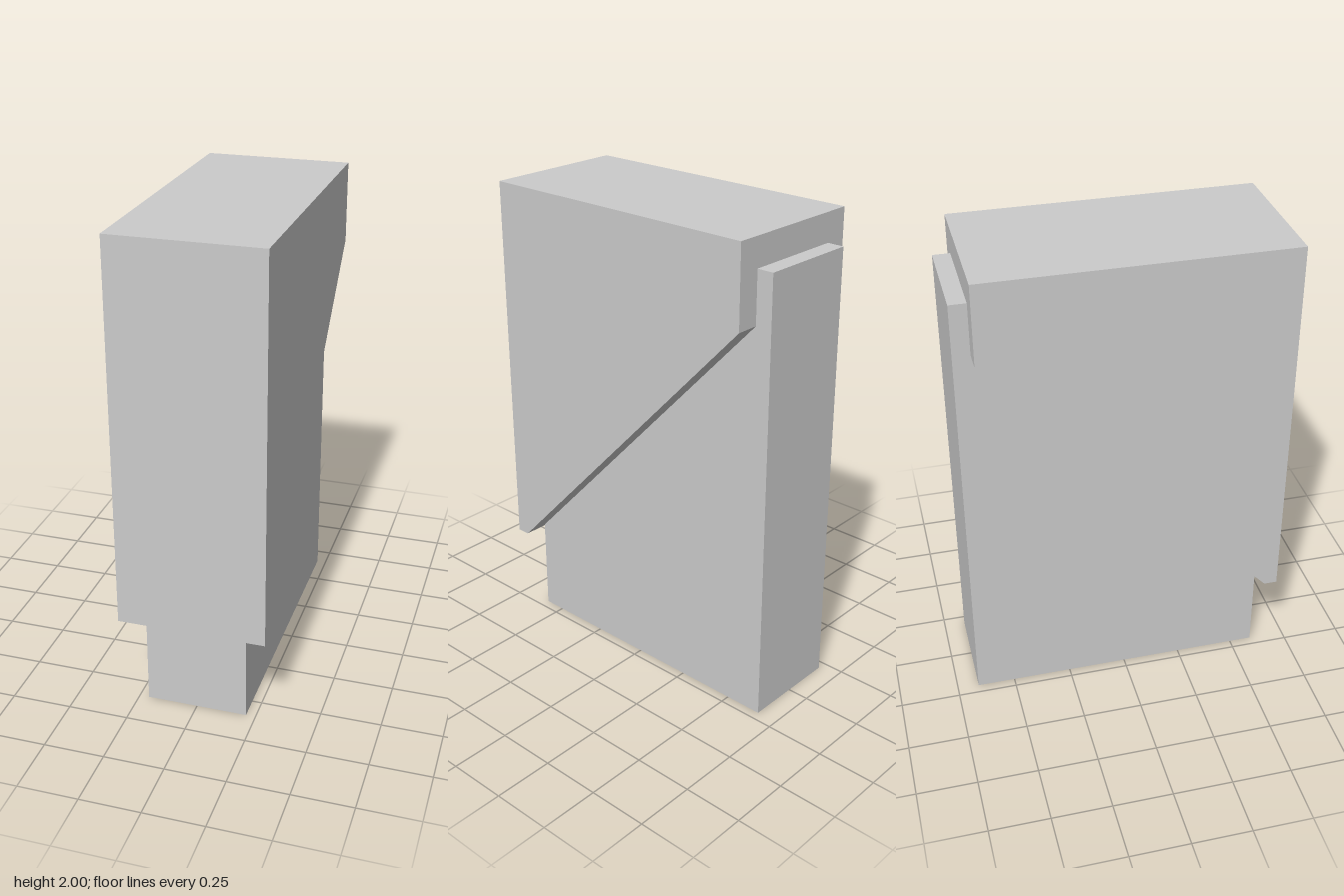
import * as THREE from 'three';

const material = new THREE.MeshStandardMaterial({ color: 0xcccccc, flatShading: true });

// Extrudes a side profile of [z, y] points across x, centred on x = 0
function sideExtrusion(name, profile, width) {
  const shape = new THREE.Shape(profile.map(([z, y]) => new THREE.Vector2(z, y)));
  const geometry = new THREE.ExtrudeGeometry(shape, { depth: width, bevelEnabled: false });
  geometry.translate(0, 0, -width / 2);
  geometry.rotateY(-Math.PI / 2);
  const mesh = new THREE.Mesh(geometry, material);
  mesh.name = name;
  return mesh;
}

export function createModel() {
  const group = new THREE.Group();
  group.name = 'coveredBlock';

  // Narrow inner block, standing on the ground and showing at the back
  const innerBlock = new THREE.Mesh(new THREE.BoxGeometry(0.42, 1.88, 1.255), material);
  innerBlock.name = 'innerBlock';
  innerBlock.position.set(0, 0.94, -0.0325);
  group.add(innerBlock);

  // Wide cover with a slanted lower edge
  group.add(sideExtrusion('slantedCover', [
    [0.66, 0.4], [0.66, 2], [-0.59, 2], [-0.59, 1.665], [0.605, 0.4],
  ], 0.61));

  return group;
}
